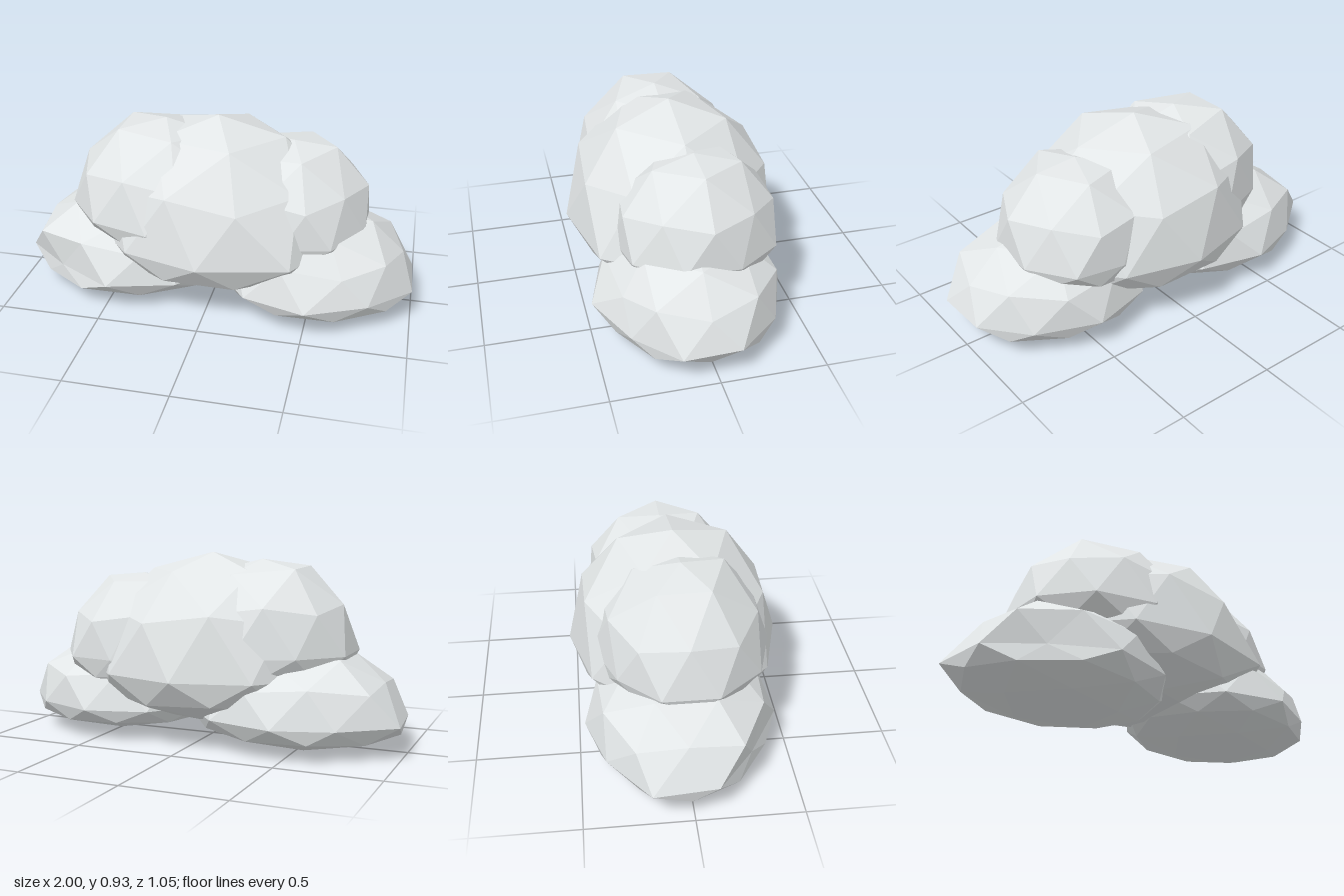
import * as THREE from 'three';

// Faceted ball with a vertex at the top; its underside is squashed flat
function puffGeometry(centre, [rx, ry, rz], squash) {
  const geo = new THREE.IcosahedronGeometry(1, 1);
  geo.rotateZ(-Math.atan(2 / (1 + Math.sqrt(5))));
  const pos = geo.attributes.position;
  for (let i = 0; i < pos.count; i++) {
    const y = pos.getY(i);
    pos.setXYZ(i, pos.getX(i) * rx, y * ry * (y < 0 ? squash : 1), pos.getZ(i) * rz);
  }
  return geo.translate(...centre);
}

// Pulls the corner nearest to a point onto that point, for a lumpy outline
function pullCorner(geo, point) {
  const pos = geo.attributes.position;
  const target = new THREE.Vector3(...point);
  const dist = [];
  for (let i = 0; i < pos.count; i++) {
    dist.push(new THREE.Vector3().fromBufferAttribute(pos, i).distanceTo(target));
  }
  const nearest = Math.min(...dist);
  dist.forEach((d, i) => {
    if (d < nearest + 1e-4) pos.setXYZ(i, ...point);
  });
}

export function createModel() {
  const group = new THREE.Group();
  group.name = 'cloud';
  const cloudWhite = new THREE.MeshStandardMaterial({ color: 0xe4e8e9, flatShading: true });
  cloudWhite.name = 'cloudWhite';

  // centre of the widest ring, radii, underside squash, pulled corners
  const puffs = [
    {
      name: 'centrePuff', centre: [0, 0.35, 0], radii: [0.63, 0.58, 0.525], squash: 0.45,
      corners: [[0.11, 0.855, 0.28], [0.43, 0.35, 0.43], [-0.165, 0.655, -0.44]],
    },
    {
      name: 'upperRightPuff', centre: [-0.26, 0.46, 0.01], radii: [0.485, 0.44, 0.43], squash: 0.45,
      corners: [[-0.47, 0.865, 0.13], [-0.47, 0.86, -0.12], [-0.18, 0.86, 0.225], [-0.54, 0.46, -0.31]],
    },
    {
      name: 'upperLeftPuff', centre: [0.37, 0.415, -0.03], radii: [0.4, 0.405, 0.42], squash: 0.45,
      corners: [
        [0.58, 0.8, -0.03], [0.435, 0.79, 0.18], [0.435, 0.785, -0.24], [0.2, 0.785, -0.16],
        [0.745, 0.615, -0.03], [0.37, 0.415, 0.36], [0.37, 0.415, -0.41],
      ],
    },
    {
      name: 'lowerRightPuff', centre: [-0.47, 0.16, -0.01], radii: [0.557, 0.335, 0.46], squash: 0.47,
      corners: [
        [-1, 0.16, -0.19], [-0.975, 0.16, 0.11], [-0.75, 0.16, 0.29], [-0.75, 0.16, -0.38],
        [-0.89, 0.335, -0.02],
      ],
    },
    {
      name: 'lowerLeftPuff', centre: [0.51, 0.16, 0.03], radii: [0.515, 0.34, 0.46], squash: 0.42,
      corners: [
        [0.99, 0.16, -0.1], [0.81, 0.16, -0.31], [0.51, 0.16, -0.425], [0.8, 0.16, 0.36],
        [0.67, 0.295, 0.37], [0.94, 0.3, 0.03],
      ],
    },
  ];
  for (const { name, centre, radii, squash, corners } of puffs) {
    const geo = puffGeometry(centre, radii, squash);
    corners.forEach((point) => pullCorner(geo, point));
    geo.computeVertexNormals();
    const mesh = new THREE.Mesh(geo, cloudWhite);
    mesh.name = name;
    group.add(mesh);
  }
  return group;
}
